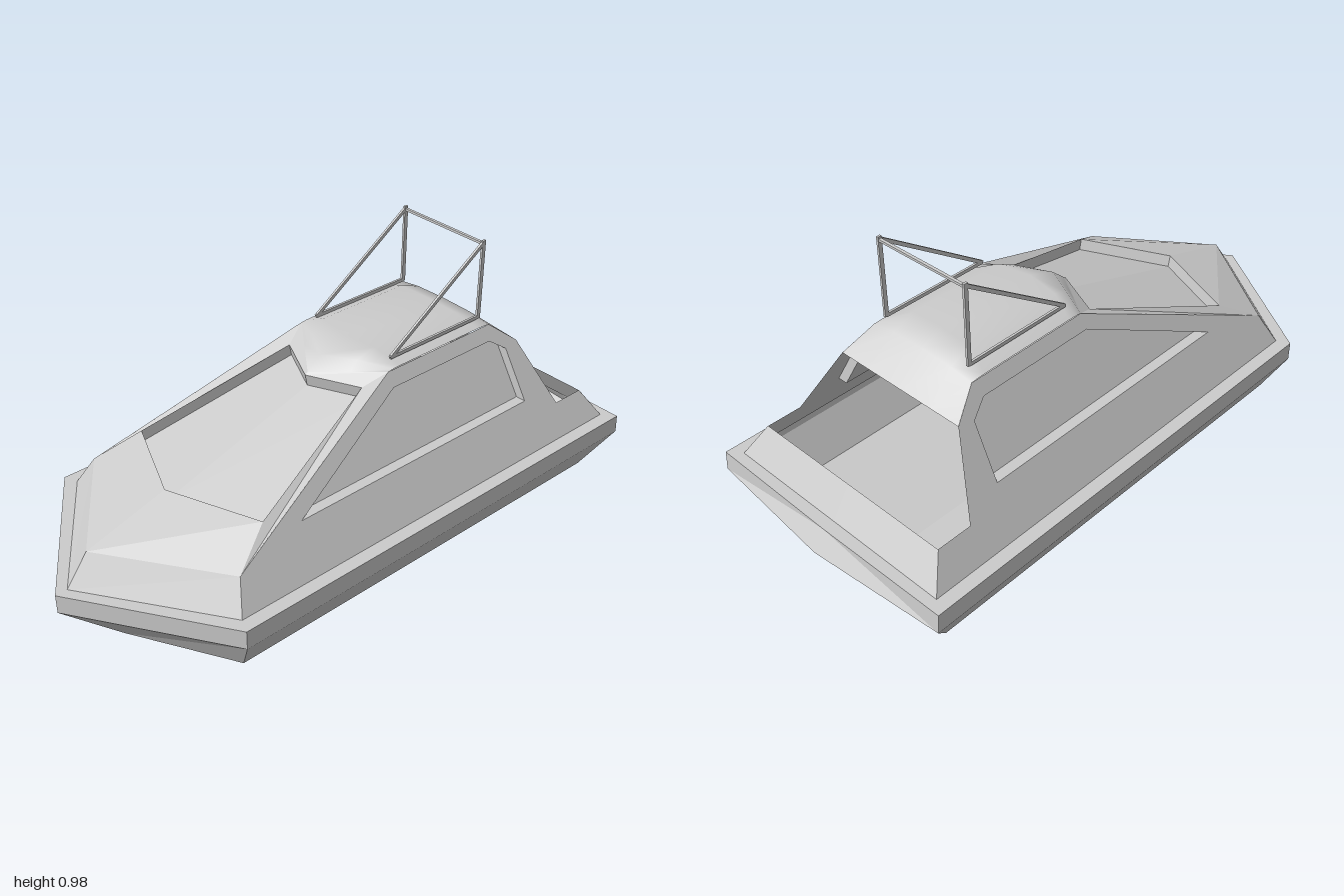
import * as THREE from 'three';

const flat = new THREE.MeshStandardMaterial({ color: 0xcccccc, flatShading: true, side: THREE.DoubleSide });
const smooth = new THREE.MeshStandardMaterial({ color: 0xcccccc, side: THREE.DoubleSide });

function add(group, name, geometry, material = flat) {
  const mesh = new THREE.Mesh(geometry, material);
  mesh.name = name;
  group.add(mesh);
  return mesh;
}

// Convex polygons, corners counter-clockwise from outside, as one geometry
function faces(polygons) {
  const pos = [];
  for (const p of polygons)
    for (let i = 1; i < p.length - 1; i++) pos.push(...p[0], ...p[i], ...p[i + 1]);
  const g = new THREE.BufferGeometry();
  g.setAttribute('position', new THREE.Float32BufferAttribute(pos, 3));
  g.computeVertexNormals();
  return g;
}

// Quads between successive cross-section rows
function strips(...rows) {
  const out = [];
  for (let r = 0; r < rows.length - 1; r++)
    for (let i = 0; i < rows[r].length - 1; i++)
      out.push([rows[r][i], rows[r][i + 1], rows[r + 1][i + 1], rows[r + 1][i]]);
  return out;
}

// Sunken panel: reveals around an outline plus its floor
function recess(outline, offset, closed) {
  const low = outline.map(p => p.map((v, i) => v + offset[i]));
  const rim = closed ? [...outline, outline[0]] : outline;
  const rimLow = closed ? [...low, low[0]] : low;
  return [...strips(rim, rimLow), low];
}

// Cabin sides lie on one leaning plane
const wallX = y => 0.43 - 0.5625 * (y - 0.275);

function buildHalf() {
  const half = new THREE.Group();

  // Hull outlines: bow, fore corner, aft corner, stern centre
  const chine = [[0, 0, 0.79], [0.4, 0.075, 0.64], [0.4, 0.075, -0.87], [0, 0, -0.86]];
  const rubLow = [[0, 0.21, 1], [0.475, 0.21, 0.68], [0.475, 0.21, -0.96], [0, 0.21, -1]];
  const rubTop = [[0, 0.275, 1], [0.475, 0.275, 0.68], [0.475, 0.275, -0.955], [0, 0.275, -0.96]];
  const base = [[0, 0.275, 0.96], [0.43, 0.275, 0.66], [0.43, 0.275, -0.92], [0, 0.275, -0.92]];
  add(half, 'hullBottom', faces([[chine[0], chine[3], chine[2], chine[1]]]));
  add(half, 'hullSide', faces(strips(chine, rubLow)));
  add(half, 'gunwale', faces(strips(rubLow, rubTop, base)));

  // Bow coaming, transom coaming
  const A = [0, 0.375, 0.885], B = [0.375, 0.375, 0.62];
  add(half, 'bowCoaming', faces([[base[0], base[1], B, A]]));
  add(half, 'transom', faces([[base[2], base[3], [0, 0.375, -0.855], [0.375, 0.375, -0.855]]]));

  // Sloping foredeck with the windscreen sunk into it
  const C = [0, 0.64, 0.05], D = [0.205, 0.675, -0.1];
  const a = [0, 0.458, 0.605], b = [0.305, 0.455, 0.48], d = [0.172, 0.635, -0.02], c = [0, 0.633, 0.06];
  add(half, 'foredeck', faces([[A, B, b, a], [B, D, d, b], [D, C, c, d]]));
  add(half, 'windscreen', faces(recess([a, b, d, c], [0, -0.04, -0.008], false)));

  // Cabin side, drawn as (-z, y), with a window opening
  const side = [[-0.66, 0.275], [0.92, 0.275], [0.855, 0.375], [0.735, 0.375],
    [0.645, 0.6], [0.55, 0.675], [0.1, 0.675], [-0.62, 0.375]];
  const win = [[-0.37, 0.425], [0.6, 0.425], [0.59, 0.59], [0.53, 0.63], [0.1, 0.63]];
  const toV2 = list => list.map(p => new THREE.Vector2(...p));
  const shape = new THREE.Shape(toV2(side));
  shape.holes.push(new THREE.Path(toV2(win)));
  const wall = new THREE.ShapeGeometry(shape);
  const p = wall.attributes.position;
  for (let i = 0; i < p.count; i++) p.setXYZ(i, wallX(p.getY(i)), p.getY(i), -p.getX(i));
  wall.computeVertexNormals();
  add(half, 'cabinSide', wall);
  const rim = win.map(([s, y]) => [wallX(y), y, -s]);
  add(half, 'sideWindow', faces(recess(rim, [-0.036, 0, 0], true)));
  return half;
}

// Rounded roof: rows from windscreen to cockpit, each centre, shoulder, edge
function buildRoof() {
  const rows = [
    [[0, 0.64, 0.05], [0.11, 0.659, -0.03], [0.205, 0.675, -0.1]],
    [[0, 0.683, 0], [0.11, 0.69, -0.06], [0.205, 0.677, -0.12]],
    [[0, 0.72, -0.1], [0.12, 0.717, -0.12], [0.205, 0.678, -0.15]],
    [[0, 0.72, -0.47], [0.12, 0.717, -0.47], [0.205, 0.678, -0.5]],
    [[0, 0.69, -0.55], [0.12, 0.687, -0.55], [0.205, 0.675, -0.55]],
    [[0, 0.6, -0.645], [0.13, 0.6, -0.645], [0.247, 0.6, -0.645]],
  ];
  const pos = [], index = [];
  for (const [m, s, e] of rows)
    for (const [x, y, z] of [[-e[0], e[1], e[2]], [-s[0], s[1], s[2]], m, s, e]) pos.push(x, y, z);
  for (let r = 0; r < rows.length - 1; r++)
    for (let i = 0; i < 4; i++) {
      const k = r * 5 + i;
      index.push(k, k + 1, k + 6, k, k + 6, k + 5);
    }
  const g = new THREE.BufferGeometry();
  g.setAttribute('position', new THREE.Float32BufferAttribute(pos, 3));
  g.setIndex(index);
  g.computeVertexNormals();
  return g;
}

// Square bar between two points
function rod(group, name, from, to, w = 0.008, h = 0.012) {
  const p = new THREE.Vector3(...from), q = new THREE.Vector3(...to);
  const mesh = add(group, name, new THREE.BoxGeometry(w, h, p.distanceTo(q)));
  mesh.position.copy(p).add(q).multiplyScalar(0.5);
  mesh.lookAt(q);
}

export function createModel() {
  const model = new THREE.Group();
  model.name = 'cabinBoat';
  for (const s of [1, -1]) {
    const half = buildHalf();
    half.name = s > 0 ? 'leftHalf' : 'rightHalf';
    half.scale.x = s;
    model.add(half);
  }
  add(model, 'roof', buildRoof(), smooth);

  // Roof rack: two triangular frames joined by a crossbar
  const rack = new THREE.Group();
  rack.name = 'roofRack';
  for (const x of [-0.167, 0.18]) {
    rod(rack, 'rackPost', [x, 0.7, -0.522], [x, 0.975, -0.522], 0.008, 0.014);
    rod(rack, 'rackBrace', [x, 0.702, -0.13], [x, 0.967, -0.522]);
    rod(rack, 'rackFoot', [x, 0.704, -0.13], [x, 0.704, -0.522]);
  }
  rod(rack, 'rackCrossbar', [-0.167, 0.964, -0.522], [0.18, 0.964, -0.522], 0.01, 0.008);
  model.add(rack);
  return model;
}
